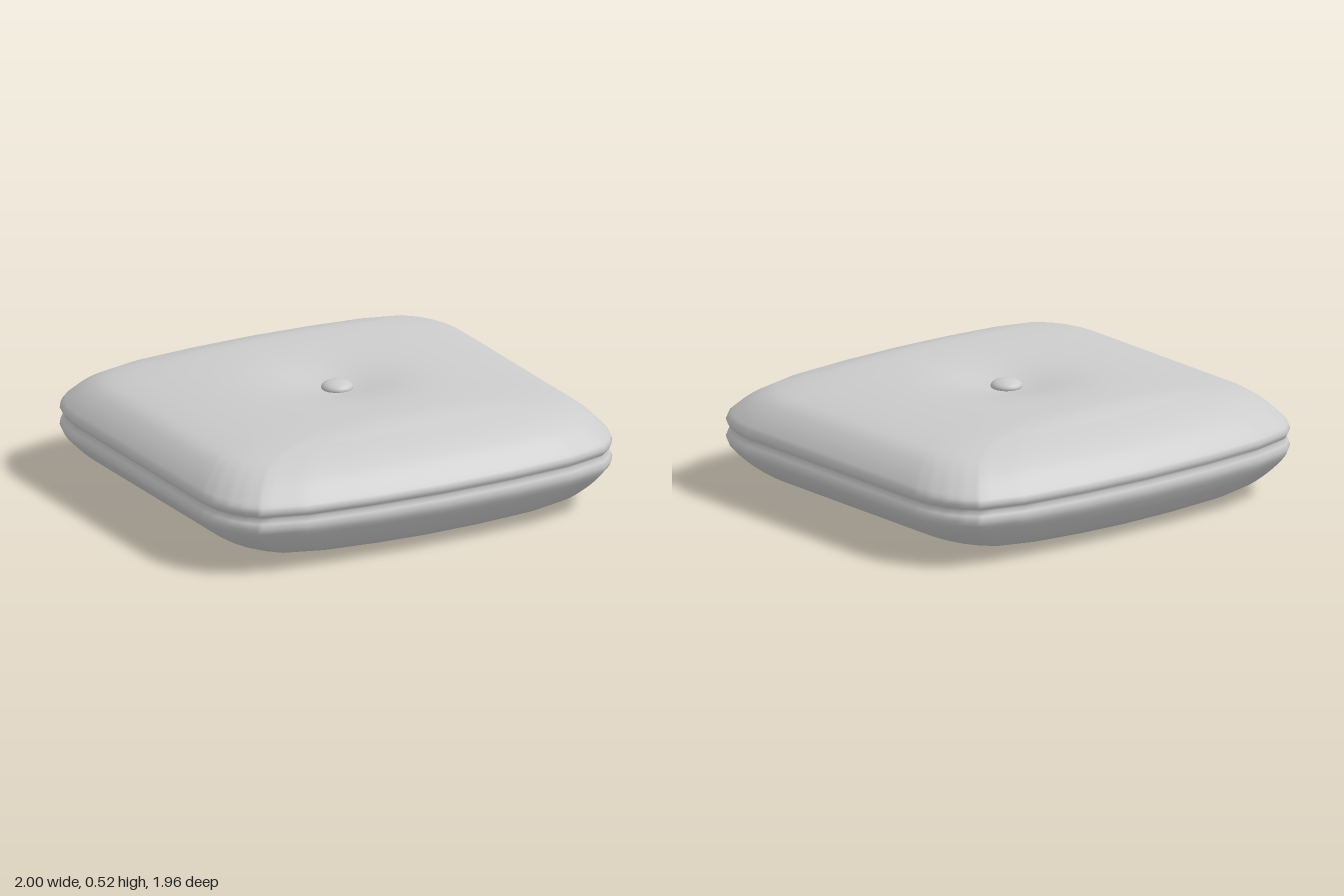
import * as THREE from 'three';
import { mergeVertices } from 'three/addons/utils/BufferGeometryUtils.js';

// One quarter of the plan outline, as fractions of half width and half depth
const QUARTER = [[1, 0], [1, 0.3], [1, 0.6], [0.988, 0.69], [0.96, 0.775], [0.92, 0.84],
  [0.86, 0.9], [0.66, 0.957], [0.35, 0.988], [0, 1]];

// Levels as [half width, height, half depth]; both ends close to a ridge line
const LOWER = [[0, 0.004, 0.62], [0.2, 0.008, 0.69], [0.4, 0.018, 0.75], [0.7, 0.038, 0.82], [0.83, 0.065, 0.87],
  [0.89, 0.1, 0.905], [0.96, 0.16, 0.95], [0.998, 0.215, 0.98], [0.996, 0.235, 0.98], [0.975, 0.265, 0.962]];
const UPPER = [[0.975, 0.265, 0.962], [0.996, 0.29, 0.98], [0.998, 0.308, 0.98], [0.97, 0.35, 0.94], [0.92, 0.4, 0.885],
  [0.86, 0.44, 0.82], [0.77, 0.466, 0.76], [0.65, 0.486, 0.7], [0.5, 0.502, 0.655], [0.25, 0.516, 0.59], [0, 0.52, 0.5]];

function makeOutline() {
  const fine = [];
  for (let i = 0; i < QUARTER.length - 1; i++) {
    for (let k = 0; k < 4; k++) {
      const t = k / 4, [a, b] = [QUARTER[i], QUARTER[i + 1]];
      fine.push([a[0] + (b[0] - a[0]) * t, a[1] + (b[1] - a[1]) * t]);
    }
  }
  // Mirror the quarter around, counter-clockwise from above
  const end = [0, 1];
  const back = [...fine.slice(1), end].reverse();
  return [
    ...fine.map(([x, z]) => [x, -z]),
    ...back.map(([x, z]) => [-x, -z]),
    ...fine.map(([x, z]) => [-x, z]),
    ...back.map(([x, z]) => [x, z]),
  ];
}

function sampleLevels(levels, steps) {
  return new THREE.CatmullRomCurve3(levels.map((p) => new THREE.Vector3(...p))).getSpacedPoints(steps);
}

function makeCushion() {
  const outline = makeOutline();
  const rings = [...sampleLevels(LOWER, 44), ...sampleLevels(UPPER, 52).slice(1)];
  const n = outline.length;
  const positions = [], index = [];
  rings.forEach((ring, j) => {
    outline.forEach(([ox, oz], i) => {
      const x = ox * ring.x, z = oz * ring.z;
      // Soft dimple pulled down by the button
      const dip = ring.y > 0.4 ? 0.06 * Math.exp(-(x * x + z * z) / 0.06) : 0;
      positions.push(x, ring.y - dip, z);
      if (j < rings.length - 1) {
        const a = j * n + i, b = j * n + (i + 1) % n;
        index.push(a, b, b + n, a, b + n, a + n);
      }
    });
  });
  let geometry = new THREE.BufferGeometry();
  geometry.setAttribute('position', new THREE.Float32BufferAttribute(positions, 3));
  geometry.setIndex(index);
  geometry = mergeVertices(geometry, 1e-5);
  geometry.computeVertexNormals();
  return geometry;
}

export function createModel() {
  const group = new THREE.Group();
  group.name = 'cushion';
  const material = new THREE.MeshStandardMaterial({ color: 0xcccccc });

  // Padded body with a pinched seam around its edge
  const body = new THREE.Mesh(makeCushion(), material);
  body.name = 'cushionBody';
  group.add(body);

  // Flattened round button in the dimple
  const button = new THREE.Mesh(new THREE.SphereGeometry(0.07, 32, 16), material);
  button.name = 'button';
  button.scale.y = 0.45;
  button.position.set(0, 0.47, 0.01);
  group.add(button);
  return group;
}
